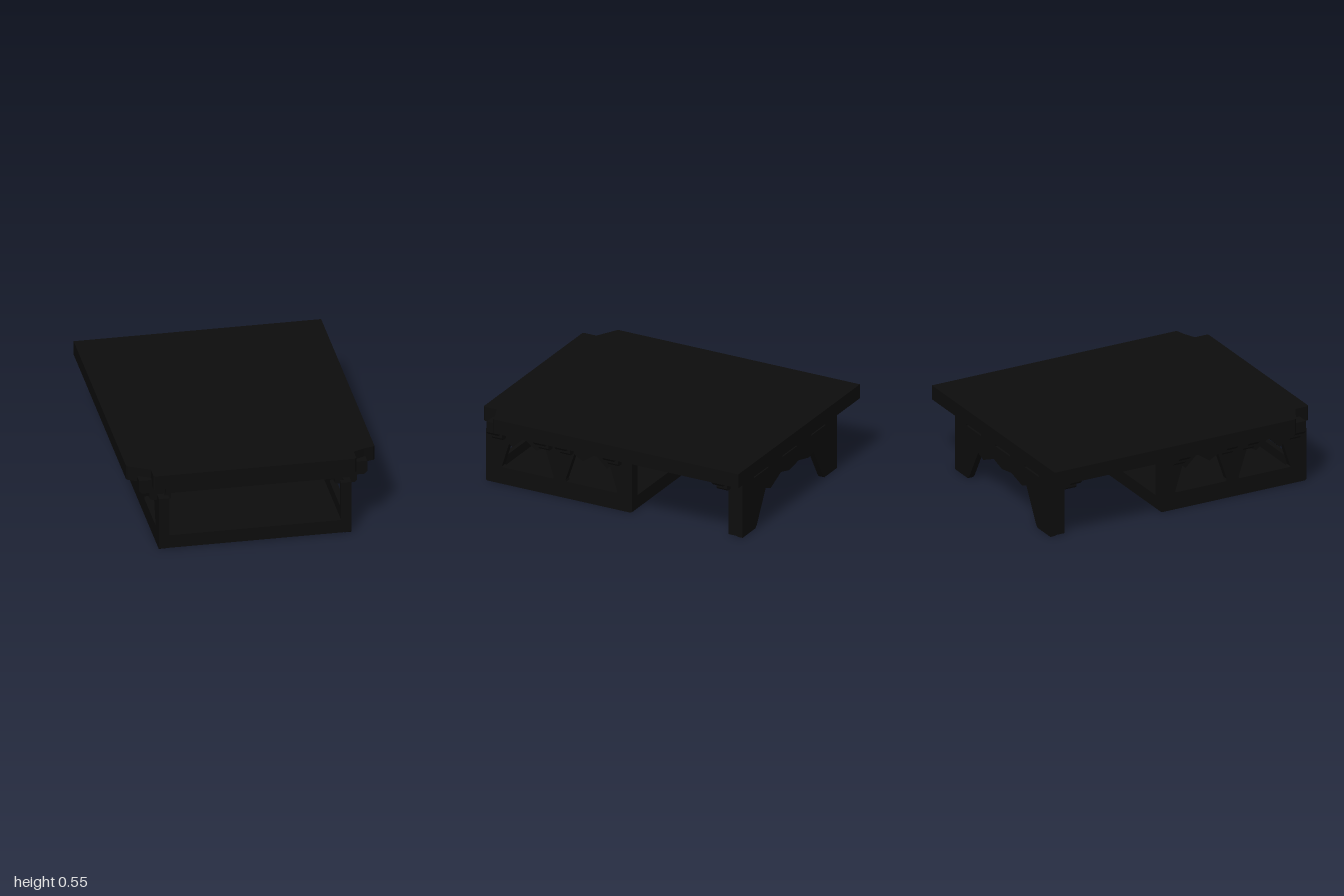
import * as THREE from 'three';

const black = new THREE.MeshStandardMaterial({ color: 0x0d0d0d });
black.name = 'matte black';

export function createModel() {
  const root = new THREE.Group();
  root.name = 'lowTable';

  const add = (name, geo, parent = root) => {
    const m = new THREE.Mesh(geo, black);
    m.name = name;
    parent.add(m);
    return m;
  };
  // Box given by its min and max on each axis
  const box = (name, x0, x1, y0, y1, z0, z1, parent) =>
    add(name, new THREE.BoxGeometry(x1 - x0, y1 - y0, z1 - z0)
      .translate((x0 + x1) / 2, (y0 + y1) / 2, (z0 + z1) / 2), parent);
  const vec = pts => pts.map(p => new THREE.Vector2(...p));
  const extrude = (pts, depth, holes = []) => {
    const s = new THREE.Shape(vec(pts));
    holes.forEach(h => s.holes.push(new THREE.Path(vec(h))));
    return new THREE.ExtrudeGeometry(s, { depth, bevelEnabled: false });
  };
  // Profile in (x, z), hanging down from a top height
  const slab = (pts, top, depth, holes) =>
    extrude(pts, depth, holes).rotateX(Math.PI / 2).translate(0, top, 0);
  // Profile in (z, y), running from outerX towards -x
  const sidePlate = (pts, outerX, depth, holes) =>
    extrude(pts, depth, holes).rotateY(-Math.PI / 2).translate(outerX, 0, 0);

  // Table top: solid plate over a hollow rim, with cut front corners
  const outline = [
    [-0.83, -1], [0.83, -1], [0.83, 0.84], [0.82, 0.85], [0.76, 0.865], [0.68, 0.9],
    [0.68, 0.99], [0.67, 1], [-0.67, 1], [-0.68, 0.99], [-0.68, 0.9], [-0.78, 0.845],
    [-0.82, 0.825], [-0.83, 0.81],
  ];
  const hollow = [
    [-0.77, -0.94], [0.77, -0.94], [0.77, 0.8], [0.62, 0.86], [0.62, 0.95],
    [-0.62, 0.95], [-0.62, 0.86], [-0.77, 0.78],
  ];
  add('tableTop', slab(outline, 0.55, 0.06));
  add('tableRim', slab(outline, 0.49, 0.04, [hollow]));

  // Rails and slats under the top, interrupted by one gap
  const frame = new THREE.Group();
  frame.name = 'underFrame';
  root.add(frame);
  for (const s of [-1, 1]) {
    for (const [z0, z1] of [[-0.9, 0.42], [0.48, 0.95]]) {
      const x = s * 0.56;
      box('sideRail', x - 0.03, x + 0.03, 0.39, 0.49, z0, z1, frame);
    }
    box('middleRail', s * 0.25 - 0.015, s * 0.25 + 0.015, 0.42, 0.49, -0.8, 0.42, frame);
  }
  for (const z of [-0.08, 0.38, 0.52, 0.93])
    box('crossRail', -0.56, 0.56, 0.39, 0.49, z - 0.02, z + 0.02, frame);
  for (let i = 0; i < 7; i++) {
    const z = -0.72 + i * 0.09;
    box('slat', -0.53, 0.53, 0.46, 0.49, z - 0.015, z + 0.015, frame);
  }

  // Stepped brackets joining the top to the tray and legs
  const bracketPts = [
    [0.55, 0.49], [0.55, 0.34], [0.68, 0.34], [0.695, 0.355], [0.695, 0.395],
    [0.745, 0.395], [0.765, 0.415], [0.765, 0.49],
  ];
  for (const s of [-1, 1]) {
    const pts = bracketPts.map(([x, y]) => [s * x, y]);
    if (s > 0) pts.reverse();
    for (const z of [-0.84, -0.02, 0.34, 0.5, 0.85])
      add('bracket', extrude(pts, 0.08).translate(0, 0, z));
  }

  // Rear leg panel with a jagged arch and three slots
  const rear = new THREE.Group();
  rear.name = 'rearLegPanel';
  root.add(rear);
  const panel = [
    [-0.645, 0.005], [-0.47, 0.005], [-0.45, 0.025], [-0.32, 0.25], [-0.26, 0.23],
    [-0.12, 0.265], [0.01, 0.245], [0.12, 0.275], [0.26, 0.215], [0.33, 0.24],
    [0.45, 0.025], [0.47, 0.005], [0.645, 0.005], [0.645, 0.46], [-0.645, 0.46],
  ];
  const slots = [-0.39, 0, 0.39].map(x =>
    [[x - 0.1, 0.375], [x - 0.085, 0.42], [x + 0.085, 0.42], [x + 0.1, 0.375]]);
  add('archedPanel', extrude(panel, 0.04, slots).translate(0, 0, -0.93), rear);
  for (const s of [-1, 1]) {
    const x = s * 0.625;
    box('legFlange', x - 0.02, x + 0.02, 0.01, 0.46, -0.93, -0.825, rear);
    box('legRib', s * 0.55 - 0.012, s * 0.55 + 0.012, 0.03, 0.46, -0.9, -0.85, rear);
  }

  // Front tray: floor, low end lips and windowed sides
  const tray = new THREE.Group();
  tray.name = 'tray';
  root.add(tray);
  box('trayFloor', -0.645, 0.645, 0.012, 0.04, -0.1, 1, tray);
  box('frontLip', -0.62, 0.62, 0.015, 0.105, 0.965, 1, tray);
  box('rearLip', -0.62, 0.62, 0.015, 0.105, -0.1, -0.065, tray);

  const peaks = [
    [0.01, 0.13], [0.02, 0.125], [0.395, 0.125], [0.4, 0.14], [0.335, 0.335], [0.27, 0.3],
    [0.175, 0.365], [0.09, 0.285], [0.065, 0.305],
  ];
  const mirrored = peaks.map(([z, y]) => [0.89 - z, y]).reverse();
  const side = [
    [-0.09, 0.005], [0.99, 0.005], [1, 0.015], [1, 0.38], [0.48, 0.38], [0.47, 0.335],
    [0.45, 0.375], [0.44, 0.375], [0.42, 0.335], [0.41, 0.38], [-0.1, 0.38], [-0.1, 0.015],
  ];
  for (const outerX of [0.645, -0.6])
    add('traySide', sidePlate(side, outerX, 0.045, [peaks, mirrored]), tray);
  for (const s of [-1, 1])
    for (const z of [-0.1, 0.96])
      box('cornerPost', s * 0.605 - 0.03, s * 0.605 + 0.03, 0.015, 0.38, z, z + 0.04, tray);

  return root;
}
